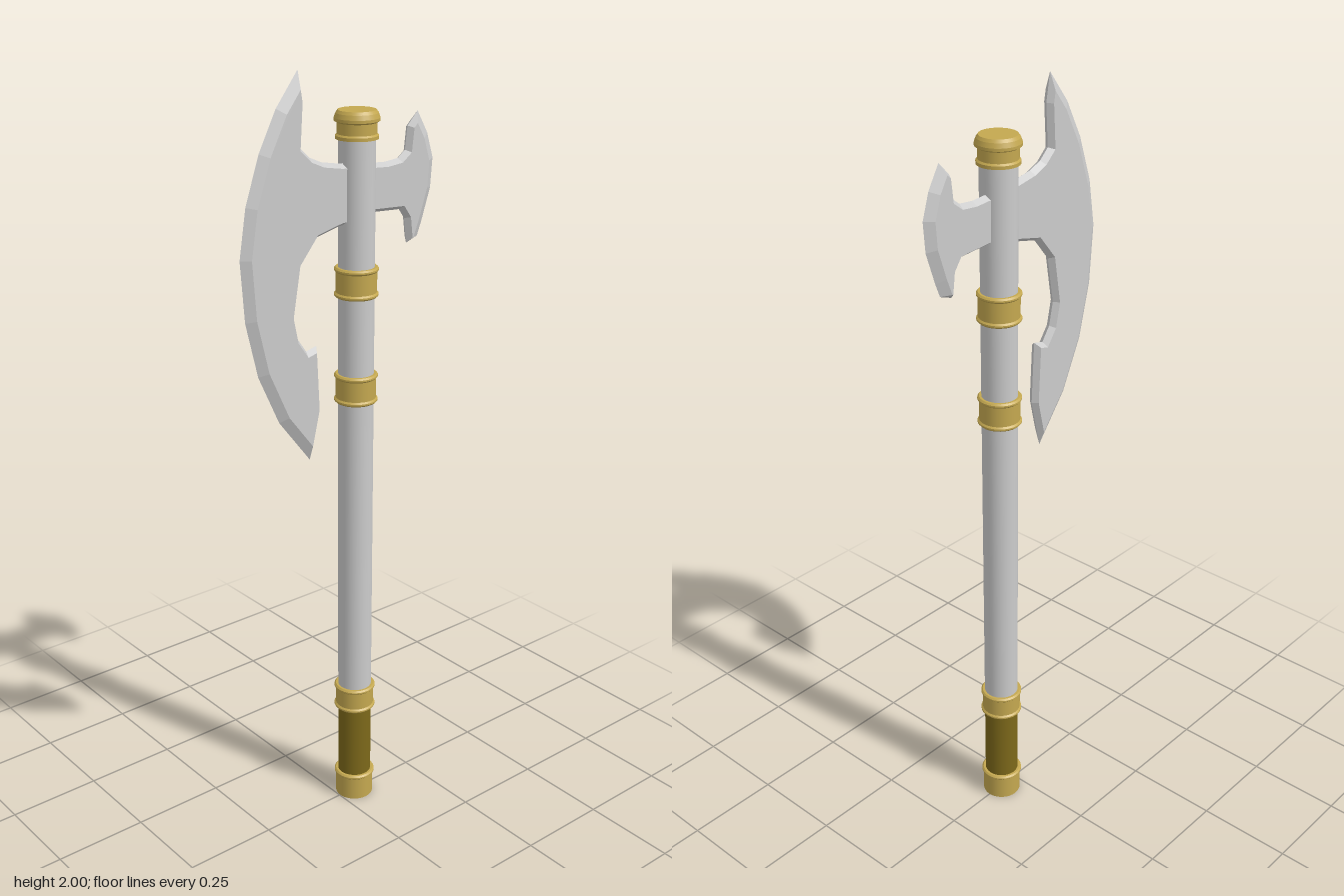
import * as THREE from 'three';

const AXIS_Z = -0.053; // shaft sits slightly behind centre
const SHAFT_R = 0.045;
const HALF_T = 0.015;  // half thickness of the blades

const steel = new THREE.MeshStandardMaterial({ color: 0xcccccc });
const blade = new THREE.MeshStandardMaterial({ color: 0xcccccc, flatShading: true });
const gold = new THREE.MeshStandardMaterial({ color: 0xc4a850 });
const leather = new THREE.MeshStandardMaterial({ color: 0x7c681a });

// Plate with bevelled rim from a counter-clockwise [z, y, bevel of next edge] outline
function bevelledPlate(outline) {
  const n = outline.length;
  const rim = outline.map(([z, y]) => new THREE.Vector2(z, y));
  const normals = rim.map((p, i) => {
    const d = rim[(i + 1) % n].clone().sub(p).normalize();
    return new THREE.Vector2(-d.y, d.x);
  });
  const inset = rim.map((p, i) => {
    const j = (i + n - 1) % n;
    const a = normals[j], b = normals[i];
    const wa = outline[j][2], wb = outline[i][2];
    const det = a.x * b.y - a.y * b.x;
    if (Math.abs(det) < 0.05) return p.clone().addScaledVector(b, wb);
    return new THREE.Vector2(p.x + (wa * b.y - wb * a.y) / det, p.y + (a.x * wb - b.x * wa) / det);
  });

  const pos = [];
  const tri = (side, ...pts) => {
    if (side > 0) pts.reverse();
    for (const [p, x] of pts) pos.push(x, p.y, p.x);
  };
  const faces = THREE.ShapeUtils.triangulateShape(inset, []);
  for (const side of [-1, 1]) {
    const x = side * HALF_T;
    for (const f of faces) tri(side, ...f.map((k) => [inset[k], x]));
    for (let i = 0; i < n; i++) {
      const j = (i + 1) % n;
      tri(side, [rim[i], 0], [rim[j], 0], [inset[j], x]);
      tri(side, [rim[i], 0], [inset[j], x], [inset[i], x]);
    }
  }
  const g = new THREE.BufferGeometry();
  g.setAttribute('position', new THREE.Float32BufferAttribute(pos, 3));
  g.computeVertexNormals();
  return g;
}

// Lathe with crisp steps: each profile segment gets its own smooth band
function turned(name, profile, material) {
  const group = new THREE.Group();
  group.name = name;
  for (let i = 0; i < profile.length - 1; i++) {
    const pts = [profile[i], profile[i + 1]].map(([r, y]) => new THREE.Vector2(r, y));
    const m = new THREE.Mesh(new THREE.LatheGeometry(pts, 32), material);
    m.name = name + 'Surface';
    group.add(m);
  }
  group.position.z = AXIS_Z;
  return group;
}

// Gold collar with a raised rim at each end
function collar(name, y0, y1, lowerRim = true) {
  const R = 0.055, r = 0.051, e = 0.004, h = 0.012;
  const profile = [[0, y0]];
  if (lowerRim) profile.push([R - e, y0], [R, y0 + e], [R, y0 + h - e], [r, y0 + h]);
  else profile.push([r, y0]);
  profile.push([r, y1 - h], [R, y1 - h + e], [R, y1 - e], [R - e, y1], [0, y1]);
  return turned(name, profile, gold);
}

export function createModel() {
  const model = new THREE.Group();
  model.name = 'battleAxe';

  // Shaft and grip
  const rod = (name, y0, y1, material) => {
    const m = new THREE.Mesh(new THREE.CylinderGeometry(SHAFT_R, SHAFT_R, y1 - y0, 32), material);
    m.name = name;
    m.position.set(0, (y0 + y1) / 2, AXIS_Z);
    model.add(m);
  };
  rod('shaft', 0.3, 1.86, steel);
  rod('grip', 0.04, 0.3, leather);

  // Collars along the shaft
  model.add(
    collar('pommel', 0, 0.075, false),
    collar('gripCollar', 0.28, 0.35),
    collar('lowerCollar', 1.172, 1.247),
    collar('upperCollar', 1.445, 1.52)
  );

  // Cap at the top
  model.add(turned('topCap', [
    [0.045, 1.828], [0.052, 1.828], [0.052, 1.836], [0.048, 1.84], [0.048, 1.866],
    [0.055, 1.87], [0.055, 1.877], [0.051, 1.888], [0.046, 1.895], [0, 1.895]
  ], gold));

  // Large crescent blade: inner side downward, then the cutting edge upward
  const e = 0.024, s = 0.01;
  const main = new THREE.Mesh(bevelledPlate([
    [0.122, 2.0, s], [0.11, 1.93, s], [0.117, 1.825, s], [0.09, 1.8, s], [0.055, 1.785, s],
    [0.0, 1.775, s], [AXIS_Z, 1.775, 0], [AXIS_Z, 1.625, s], [0.0, 1.627, s], [0.072, 1.61, s],
    [0.122, 1.55, s], [0.143, 1.43, s], [0.13, 1.37, s], [0.105, 1.335, s], [0.074, 1.343, s],
    [0.066, 1.18, s], [0.097, 1.05, e], [0.19, 1.17, e], [0.25, 1.3, e], [0.284, 1.44, e],
    [0.295, 1.59, e], [0.275, 1.71, e], [0.235, 1.825, e], [0.185, 1.92, e]
  ]), blade);
  main.name = 'mainBlade';

  // Small rear blade
  const rear = new THREE.Mesh(bevelledPlate([
    [AXIS_Z, 1.768, s], [-0.14, 1.762, s], [-0.182, 1.766, s], [-0.205, 1.783, s], [-0.212, 1.84, s],
    [-0.244, 1.873, e], [-0.277, 1.817, e], [-0.297, 1.754, e], [-0.291, 1.68, e], [-0.264, 1.6, e],
    [-0.25, 1.565, s], [-0.214, 1.552, s], [-0.206, 1.615, s], [-0.188, 1.64, s], [AXIS_Z, 1.648, 0]
  ]), blade);
  rear.name = 'rearBlade';

  model.add(main, rear);
  return model;
}
